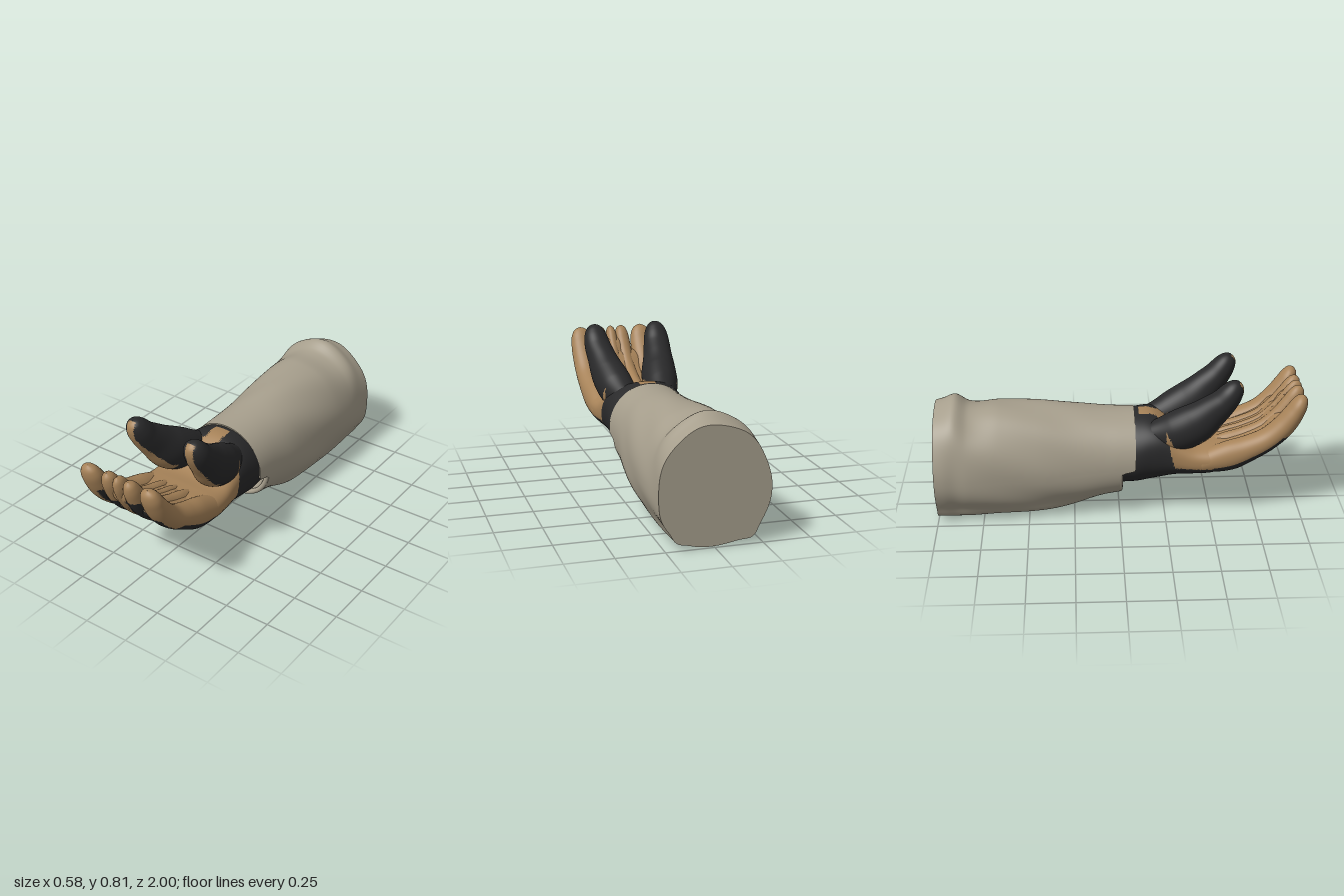
import * as THREE from 'three';

const MID = 0.017; // the hand's own centre line in x

// Smooth lookup through rows of [t, a, b, c, ...]
function curveTable(rows) {
  const n = rows[0].length - 1;
  const f = new THREE.CubicInterpolant(
    new Float32Array(rows.map(r => r[0])),
    new Float32Array(rows.flatMap(r => r.slice(1))), n);
  return t => Array.from(f.evaluate(t));
}

// Skin over rings: point(u, a) gives the surface; pick(p, u, a) gives the material slot
function skin(name, nu, nv, point, materials, pick = () => 0) {
  const pos = [], slots = materials.map(() => []);
  for (let i = 0; i <= nu; i++) {
    for (let j = 0; j < nv; j++) pos.push(...point(i / nu, j / nv * Math.PI * 2));
  }
  const vert = k => new THREE.Vector3().fromArray(pos, k * 3);
  for (let i = 0; i < nu; i++) {
    for (let j = 0; j < nv; j++) {
      const k = (j + 1) % nv;
      const a = i * nv + j, b = i * nv + k, c = a + nv, d = b + nv;
      for (const tri of [[a, b, c], [b, d, c]]) {
        const mid = vert(tri[0]).add(vert(tri[1])).add(vert(tri[2])).divideScalar(3);
        slots[pick(mid, (i + 0.5) / nu, (j + 0.5) / nv * Math.PI * 2)].push(...tri);
      }
    }
  }
  const g = new THREE.BufferGeometry();
  g.setAttribute('position', new THREE.Float32BufferAttribute(pos, 3));
  g.setIndex(slots.flat());
  let start = 0;
  slots.forEach((s, m) => { g.addGroup(start, s.length, m); start += s.length; });
  g.computeVertexNormals();
  const mesh = new THREE.Mesh(g, materials.length > 1 ? materials : materials[0]);
  mesh.name = name;
  return mesh;
}

// Rounded-box style cosine / sine
const power = (v, n) => Math.sign(v) * Math.abs(v) ** (2 / n);

// Finger-like limb: rows are [t, x, y, z, half width, half thickness]
function limb(name, rows, materials, pick) {
  const at = curveTable(rows);
  return skin(name, 72, 48, (u, a) => {
    const [x, y, z, w, h] = at(u);
    const p = at(Math.max(0, u - 0.02)), q = at(Math.min(1, u + 0.02));
    const len = Math.hypot(q[1] - p[1], q[2] - p[2]);
    const ty = (q[1] - p[1]) / len, tz = (q[2] - p[2]) / len;
    const s = Math.sin(a) * Math.max(h, 0.001);
    return [x + Math.cos(a) * Math.max(w, 0.001), y + tz * s, z - ty * s];
  }, materials, pick);
}

export function createModel() {
  const group = new THREE.Group();
  group.name = 'glovedArm';
  const mat = (name, color) => Object.assign(new THREE.MeshStandardMaterial({ color }), { name });
  const cloth = mat('sleeve cloth', 0xa69e8c);
  const black = mat('black glove', 0x29292a);
  const tan = mat('tan leather', 0xa68258);
  const glove = [black, tan];

  // Sleeve: z, centre x, half width, bottom, top, height of widest point
  const sleeveAt = curveTable([
    [-1, 0.001, 0.288, 0.012, 0.622, 0.29], [-0.95, 0, 0.287, 0.008, 0.64, 0.29],
    [-0.89, 0.002, 0.283, 0.005, 0.664, 0.29], [-0.82, 0.002, 0.284, 0.004, 0.622, 0.29],
    [-0.65, 0.008, 0.279, 0.008, 0.622, 0.29], [-0.45, 0.016, 0.268, 0.016, 0.61, 0.29],
    [-0.25, 0.021, 0.249, 0.037, 0.592, 0.3], [-0.1, 0.017, 0.238, 0.08, 0.577, 0.31],
    [0, 0.015, 0.235, 0.1, 0.57, 0.32], [0.09, 0.015, 0.235, 0.115, 0.567, 0.32],
  ]);
  const sleevePoint = (z, a, scale = 1) => {
    const [cx, w, bottom, top, yc] = sleeveAt(z);
    const c = Math.cos(a), s = Math.sin(a);
    const fade = THREE.MathUtils.smoothstep(-z, 0.05, 0.4);
    // Loose folds, and a ridge along each lower corner
    const fold = 0.004 * Math.sin(3 * a + 8 * z) + 0.01 * Math.sin(7 * a - 11 * z);
    const ridge = 0.07 * Math.exp(-(((Math.atan2(s, Math.abs(c)) + 0.94) / 0.17) ** 2));
    const n = s > 0 ? 2.05 : 2.3;
    const k = scale * (1 + fade * (fold + ridge));
    return [cx + w * k * power(c, n),
      Math.max(0, yc + k * (s > 0 ? top - yc : yc - bottom) * power(s, n)), z];
  };
  // The cuff is cut back on its lower half
  const cuffZ = a => 0.085 * THREE.MathUtils.smoothstep(Math.sin(a), -0.14, -0.03);
  group.add(skin('sleeve', 80, 128, (u, a) => sleevePoint(-1 + u * (1 + cuffZ(a)), a), [cloth]));
  group.add(skin('sleeveEnd', 2, 128, (u, a) => sleevePoint(-1, a, Math.max(u, 0.001)), [cloth]));
  group.add(skin('cuffLining', 6, 128, (u, a) => {
    const p = sleevePoint(cuffZ(a), a, 1 - 0.32 * u);
    p[2] -= 0.04 * u * u;
    return p;
  }, [cloth]));

  // Rolled hem under the wrist
  const hemPath = [];
  for (let i = 0; i <= 20; i++) {
    hemPath.push(new THREE.Vector3(...sleevePoint(0.002, Math.PI * (1.04 + 0.92 * i / 20), 0.94)));
  }
  const hem = new THREE.Mesh(
    new THREE.TubeGeometry(new THREE.CatmullRomCurve3(hemPath), 60, 0.014, 10), cloth);
  hem.name = 'cuffHem';
  group.add(hem);

  // Wrist and palm: z, half width, bottom, top, hollow of the palm
  const palmAt = curveTable([
    [-0.02, 0.205, 0.145, 0.53, 0], [0.05, 0.217, 0.15, 0.55, 0], [0.1, 0.228, 0.156, 0.562, 0],
    [0.18, 0.228, 0.18, 0.568, 0.01], [0.25, 0.227, 0.2, 0.55, 0.03], [0.32, 0.23, 0.217, 0.5, 0.04],
    [0.4, 0.238, 0.228, 0.455, 0.03], [0.5, 0.246, 0.24, 0.447, 0.02], [0.58, 0.246, 0.27, 0.45, 0.02],
    [0.63, 0.23, 0.305, 0.44, 0.01], [0.66, 0.19, 0.36, 0.4, 0],
  ]);
  group.add(skin('palm', 90, 96, (u, a) => {
    const z = -0.02 + 0.68 * u;
    const [w, bottom, top, hollow] = palmAt(z);
    const n = 2 + 0.35 * THREE.MathUtils.smoothstep(z, 0.09, 0.25);
    const c = power(Math.cos(a), n), s = power(Math.sin(a), n);
    const dip = Math.sin(a) > 0 ? hollow * (1 - c * c) * s : 0;
    return [MID + w * c, (top + bottom) / 2 + (top - bottom) / 2 * s - dip, z];
  }, glove, p => {
    const x = Math.abs(p.x - MID);
    if (p.y > 0.45 && x < 0.15) return p.z > 0.11 && x < (p.z > 0.21 ? 0.09 : 0.045) ? 1 : 0;
    const border = x < 0.2 ? 0.37 : 0.31;
    return p.y > border && p.z > 0.25 + Math.max(0, 0.5 - p.y) * 0.25 ? 1 : 0;
  }));

  // Upper limit of the black backing for strips across the fingers: [right edge x, y]
  const backing = [[-0.2, 0.5], [-0.175, 0.42], [-0.14, 0.34], [-0.1, 0.58], [-0.005, 0.55],
    [0.05, 0.3], [0.135, 0.6], [0.24, 0.53], [1, 0.42]];
  const fingerPick = (p, u, a) =>
    Math.sin(a) < -0.4 && p.y < backing.find(b => p.x < b[0])[1] ? 0 : 1;

  // Fingers: name, offset at base, offset at tip, half width
  const fingers = [
    ['rightOuterFinger', -0.18, -0.19, 0.07], ['rightInnerFinger', -0.073, -0.068, 0.05],
    ['middleFinger', 0, -0.002, 0.039],
    ['leftInnerFinger', 0.073, 0.068, 0.05], ['leftOuterFinger', 0.18, 0.188, 0.07],
  ];
  // Curl shared by all fingers: t, y, z, thickness, width factor
  const curl = [
    [0, 0.33, 0.44, 0.06, 0.9], [0.24, 0.37, 0.6, 0.083, 1], [0.39, 0.412, 0.7, 0.072, 1],
    [0.55, 0.468, 0.8, 0.062, 0.98], [0.72, 0.55, 0.885, 0.059, 0.97], [0.85, 0.63, 0.937, 0.051, 0.92],
    [0.94, 0.688, 0.965, 0.039, 0.74], [0.98, 0.716, 0.976, 0.022, 0.42], [1, 0.726, 0.98, 0, 0],
  ];
  for (const [name, base, tip, width] of fingers) {
    group.add(limb(name, curl.map(([t, y, z, h, k]) =>
      [t, MID + base + (tip - base) * t, y, z, width * k, h]), glove, fingerPick));
  }

  // Webbing that closes the gaps between fingers: name, rows of the curl used, half width
  for (const [name, count, width] of [['fingerWebbing', 6, 0.205], ['innerFingerWebbing', 7, 0.088]]) {
    const rows = curl.slice(0, count);
    const end = rows[count - 1][0];
    group.add(limb(name, rows.map(([t, y, z, h], i) => {
      const open = i < count - 1 ? 1 : 0;
      return [t / end, MID, y, z, width * open, 0.86 * h * open];
    }), glove, fingerPick));
  }

  // A thumb on each side: t, offset x, y, z, half width, half thickness
  const thumb = [
    [0, 0.112, 0.455, 0.19, 0.075, 0.085], [0.2, 0.13, 0.49, 0.3, 0.1, 0.112],
    [0.4, 0.147, 0.55, 0.41, 0.1, 0.114], [0.6, 0.166, 0.63, 0.496, 0.084, 0.09],
    [0.75, 0.178, 0.692, 0.556, 0.076, 0.073], [0.87, 0.183, 0.75, 0.598, 0.064, 0.06],
    [0.95, 0.184, 0.788, 0.622, 0.042, 0.04], [0.985, 0.184, 0.802, 0.63, 0.022, 0.02],
    [1, 0.184, 0.806, 0.633, 0, 0],
  ];
  for (const [name, side] of [['leftThumb', 1], ['rightThumb', -1]]) {
    const rows = thumb.map(([t, x, ...rest]) => [t, MID + side * x, ...rest]);
    group.add(limb(name, rows, glove, (p, u, a) => {
      // The pad is a strip at the tip that widens inward towards the palm
      const x = side * (p.x - MID);
      const pad = u > 0.35 && Math.sin(a) < 0 && x < 0.21 && x > 0.164 - 0.2 * Math.max(0, 0.85 - u);
      const inner = p.z > 0.2 && x < 0.036;
      const heel = p.z > 0.25 && p.y < 0.42 + 2 * Math.max(0, 0.3 - p.z);
      return pad || inner || heel ? 1 : 0;
    }));
  }
  return group;
}
